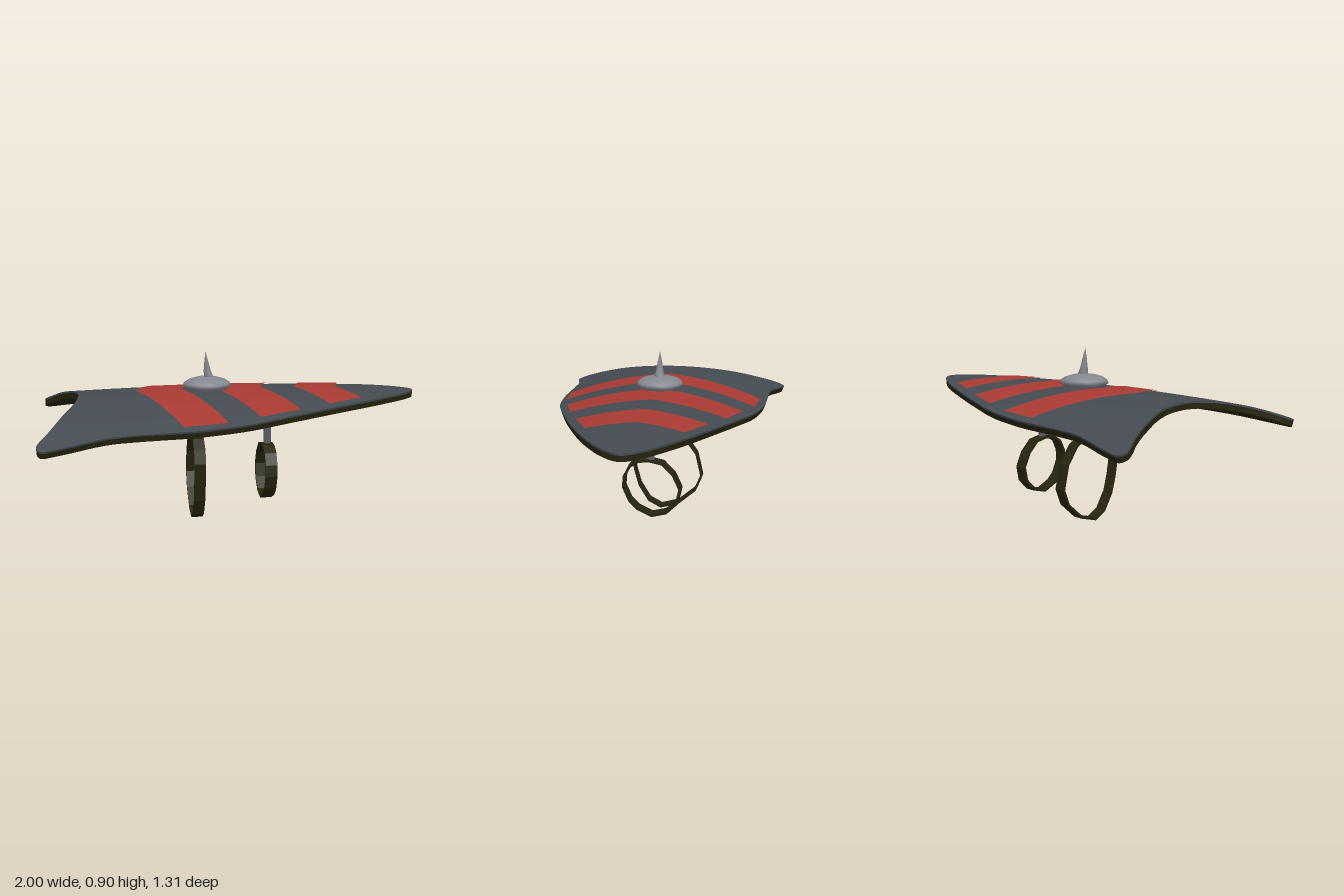
import * as THREE from 'three';
import { ParametricGeometry } from 'three/addons/geometries/ParametricGeometry.js';

const mat = (name, color, extra = {}) => {
  const m = new THREE.MeshStandardMaterial({ color, ...extra });
  m.name = name;
  return m;
};

// Outline of one half as [x, z]: leading edge from nose to wing tip, trailing edge from notch to wing tip
const curve = (pts) => new THREE.CatmullRomCurve3(pts.map(([x, z]) => new THREE.Vector3(x, 0, z)));
const leading = curve([[1, 0], [0.99, 0.03], [0.96, 0.07], [0.9, 0.125], [0.78, 0.205], [0.64, 0.28], [0.4, 0.385],
  [0.2, 0.46], [0, 0.525], [-0.2, 0.56], [-0.35, 0.572], [-0.55, 0.572], [-0.7, 0.59], [-0.85, 0.63], [-0.96, 0.655]]);
const trailing = curve([[-0.805, 0], [-0.81, 0.07], [-0.825, 0.17], [-0.855, 0.27], [-0.89, 0.36], [-0.92, 0.44],
  [-0.955, 0.52], [-0.985, 0.575], [-1, 0.62], [-0.985, 0.65], [-0.96, 0.655]]);

// Point on the arched shield surface, sunk by depth d along the normal
function arch(x, z, d, target) {
  const q = (x + 0.1) / 1.1;
  const n = new THREE.Vector3(0.055 * q, 1, 0.62 * z).normalize();
  return target.set(x, 0.705 - 0.03 * q * q - 0.31 * z * z, z).addScaledVector(n, -d);
}

// u runs along z (-1..1), v from trailing to leading edge
function shieldPoint(u, v, d, target) {
  const s = Math.min(1, Math.abs(u));
  const p = trailing.getPoint(s).lerp(leading.getPoint(s), v);
  return arch(p.x, Math.sign(u) * p.z, d, target);
}

function surface(fn, slices, stacks) {
  const g = new ParametricGeometry(fn, slices, stacks);
  g.computeVertexNormals();
  return g;
}

export function createModel() {
  const group = new THREE.Group();
  const slate = mat('slate', 0x444b51);
  const red = mat('red', 0xa83a32);
  const olive = mat('darkOlive', 0x26250f);
  const steel = mat('steel', 0x858890);
  const iron = mat('iron', 0x5a5e69, { flatShading: true });
  const strapOlive = olive;

  const add = (name, geometry, material) => {
    const m = new THREE.Mesh(geometry, material);
    m.name = name;
    group.add(m);
    return m;
  };

  // Shield body: top skin, underside and edge walls
  const LIP = 0.01, THICK = 0.038, N = 96;
  add('shieldTop', surface((u, v, t) => shieldPoint(u * 2 - 1, v, 0, t), N, 24), slate);
  add('shieldUnderside', surface((u, v, t) => shieldPoint(1 - u * 2, v, THICK, t), N, 24), olive);
  const walls = (name, d0, d1, material) => {
    const depth = (v) => d0 + (d1 - d0) * v;
    add(name + 'Leading', surface((u, v, t) => shieldPoint(u * 2 - 1, 1, depth(v), t), N, 1), material);
    add(name + 'Trailing', surface((u, v, t) => shieldPoint(1 - u * 2, 0, depth(v), t), N, 1), material);
  };
  walls('topLip', 0, LIP, slate);
  walls('edge', LIP, THICK, olive);

  // Painted chevrons: centre and end corners of the back and front lines
  const chevrons = [
    { back: [-0.51, -0.32, 0.535], front: [-0.27, -0.1, 0.515] },
    { back: [-0.1, 0.065, 0.465], front: [0.15, 0.28, 0.395] },
    { back: [0.335, 0.445, 0.325], front: [0.565, 0.64, 0.235] },
  ];
  chevrons.forEach(({ back, front }, i) => {
    const g = surface((u, v, t) => {
      const w = u * 2 - 1, s = Math.abs(w);
      const at = ([c, e]) => c + (e - c) * s;
      const x = THREE.MathUtils.lerp(at(back), at(front), v);
      const z = w * THREE.MathUtils.lerp(back[2], front[2], v);
      return arch(x, z, -0.006, t);
    }, 40, 8);
    add('chevron' + (i + 1), g, red);
  });

  // Domed boss with a slightly leaning spike
  const lathe = (pts, sides) => new THREE.LatheGeometry(pts.map(([r, y]) => new THREE.Vector2(r, y)), sides);
  const boss = add('boss', lathe([[0, 0.703], [0.1, 0.706], [0.127, 0.725], [0.122, 0.742], [0.1, 0.757],
    [0.06, 0.769], [0, 0.775]], 14), steel);
  boss.position.x = -0.135;
  const spikeGeo = lathe([[0.03, 0.76], [0.021, 0.8], [0.012, 0.85], [0, 0.908]], 6);
  const sp = spikeGeo.attributes.position;
  for (let i = 0; i < sp.count; i++) {
    const k = (sp.getY(i) - 0.76) / 0.148;
    sp.setX(i, sp.getX(i) - 0.122 - 0.02 * Math.sqrt(Math.max(0, k)));
  }
  spikeGeo.computeVertexNormals();
  add('spike', spikeGeo, steel);

  // Posts carrying the straps
  const post = (name, x, y0, y1) => {
    const m = add(name, new THREE.CylinderGeometry(0.022, 0.022, y1 - y0, 6), iron);
    m.position.set(x, (y0 + y1) / 2, 0);
  };
  post('rearPost', -0.192, 0.465, 0.675);
  post('frontPost', 0.192, 0.4, 0.68);

  // Side profiles as [-z, y], extruded across x
  const vec = (pts) => pts.map(([a, b]) => new THREE.Vector2(a, b));
  const extrudeAcross = (shape, x0, width) => new THREE.ExtrudeGeometry(shape, { depth: width, bevelEnabled: false })
    .rotateY(Math.PI / 2).translate(x0, 0, 0);

  // Arm straps: uneven loops with a thin wall
  const strap = (name, pts, x0, width, inset) => {
    const outer = vec(pts);
    const c = outer.reduce((a, p) => a.add(p), new THREE.Vector2()).divideScalar(outer.length);
    const shape = new THREE.Shape(outer);
    shape.holes.push(new THREE.Path(outer.map((p) => p.clone().sub(c).multiplyScalar(inset).add(c)).reverse()));
    add(name, extrudeAcross(shape, x0, width), strapOlive);
  };
  strap('rearStrap', [[0, 0.475], [0.08, 0.455], [0.14, 0.42], [0.205, 0.33], [0.235, 0.2], [0.2, 0.115], [0.1, 0.03],
    [0, 0.003], [-0.07, 0.04], [-0.125, 0.13], [-0.15, 0.22], [-0.17, 0.34], [-0.15, 0.41], [-0.09, 0.457]], -0.225, 0.06, 0.95);
  strap('frontStrap', [[0, 0.405], [0.07, 0.39], [0.13, 0.33], [0.167, 0.25], [0.15, 0.17], [0.09, 0.112], [0.01, 0.092],
    [-0.07, 0.13], [-0.11, 0.17], [-0.145, 0.25], [-0.14, 0.31], [-0.11, 0.37], [-0.06, 0.4]], 0.157, 0.063, 0.91);

  // Hand grip bracket under the nose
  const grip = new THREE.Shape(vec([[-0.125, 0.665], [-0.055, 0.56], [0.055, 0.56], [0.125, 0.665],
    [0.09, 0.665], [0.045, 0.59], [-0.045, 0.59], [-0.09, 0.665]]));
  add('gripBracket', extrudeAcross(grip, 0.32, 0.036), iron);

  return group;
}
